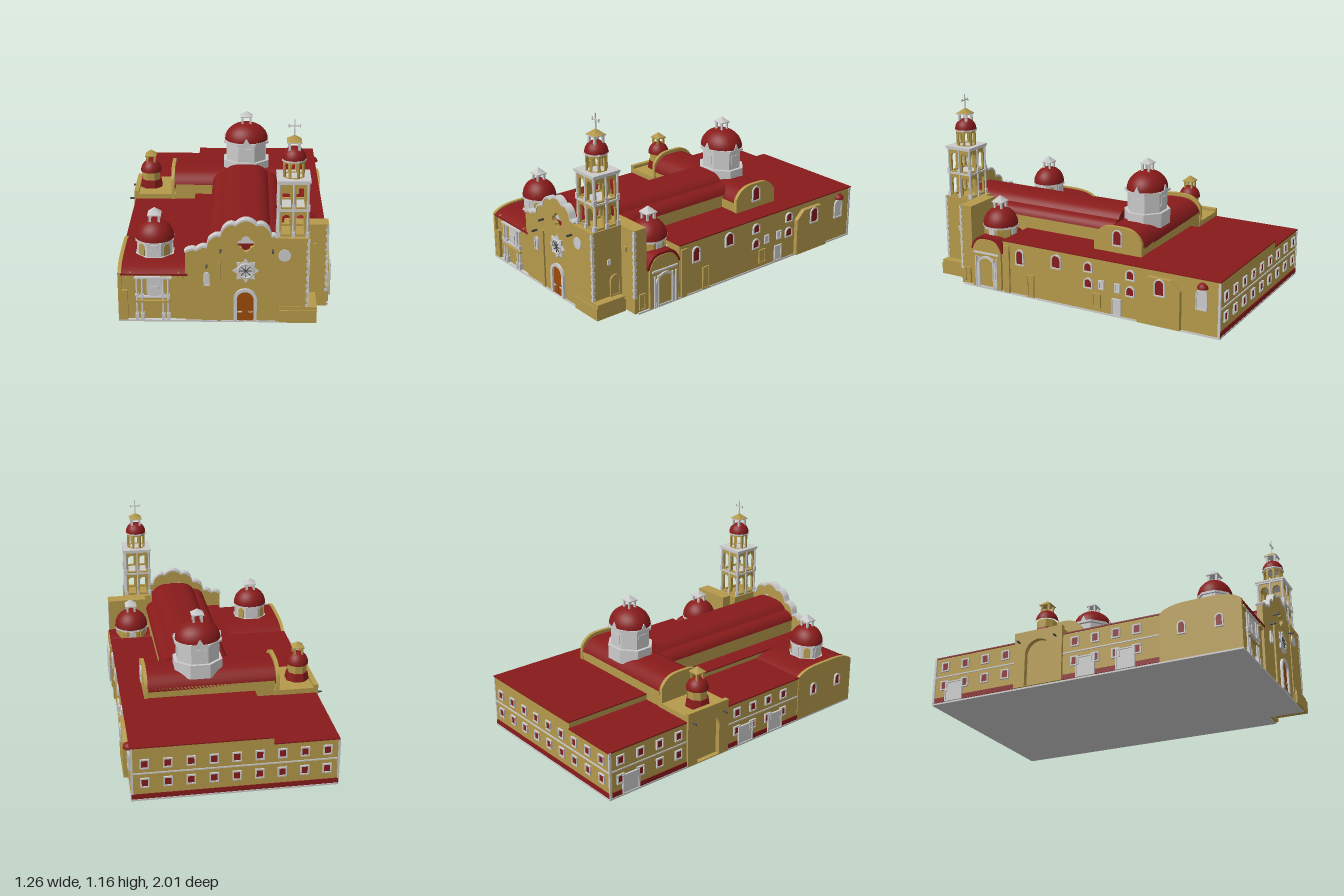
import * as THREE from 'three';
import { toCreasedNormals } from 'three/addons/utils/BufferGeometryUtils.js';

const mat = (color, side = THREE.FrontSide) => new THREE.MeshStandardMaterial({ color, side });
const OCHRE = mat(0xb59a4b), RED = mat(0x881b1b), GREY = mat(0xcccccc), WOOD = mat(0x9c4a08), DARK = mat(0x4a4a4a);
const RIGHT = -Math.PI / 2, LEFT = Math.PI / 2, BACK = Math.PI, FRONT = 0; // wall directions

export function createModel() {
  const root = new THREE.Group();
  root.name = 'church';

  const add = (name, geo, m, x = 0, y = 0, z = 0, parent = root) => {
    const mesh = new THREE.Mesh(geo, m);
    mesh.name = name;
    mesh.position.set(x, y, z);
    parent.add(mesh);
    return mesh;
  };
  const box = (name, m, x0, x1, y0, y1, z0, z1, parent = root) =>
    add(name, new THREE.BoxGeometry(x1 - x0, y1 - y0, z1 - z0), m, (x0 + x1) / 2, (y0 + y1) / 2, (z0 + z1) / 2, parent);
  const extrude = (shape, depth) =>
    toCreasedNormals(new THREE.ExtrudeGeometry(shape, { depth, bevelEnabled: false, curveSegments: 10 }), 0.6);
  const group = (name, x, y, z, rot = 0, parent = root) => {
    const g = new THREE.Group();
    g.name = name;
    g.position.set(x, y, z);
    g.rotation.y = rot;
    parent.add(g);
    return g;
  };

  // Upright outline with a round or flat head, bottom centre at (x, y)
  const opening = (w, h, arched, x = 0, y = 0, Kind = THREE.Shape) => {
    const s = new Kind(), r = w / 2;
    s.moveTo(x - r, y);
    s.lineTo(x + r, y);
    s.lineTo(x + r, y + h - (arched ? r : 0));
    if (arched) s.absarc(x, y + h - r, r, 0, Math.PI, false);
    else s.lineTo(x - r, y + h);
    s.lineTo(x - r, y);
    return s;
  };
  // Framed window or door on a wall
  const windowOn = (dir, x, y, z, w, h, arched = false, pane = RED, frame = GREY, t = 0.008) => {
    const g = group('window', x, y, z, dir === RIGHT ? Math.PI / 2 : dir === LEFT ? -Math.PI / 2 : dir);
    const s = opening(w, h, arched);
    s.holes.push(opening(w - 2 * t, h - 2 * t, arched, 0, t, THREE.Path));
    add('windowFrame', extrude(s, 0.012), frame, 0, 0, -0.003, g);
    add('windowPane', extrude(opening(w - t, h - t, arched, 0, t / 2), 0.005), pane, 0, 0, -0.002, g);
    return g;
  };
  // Block with a curved top, running along x or z
  const vault = (name, m, axis, c, half, y0, ySide, yTop, a, b) => {
    const s = new THREE.Shape();
    s.moveTo(-half, y0);
    s.lineTo(half, y0);
    s.lineTo(half, ySide);
    s.bezierCurveTo(half * 0.75, yTop + 0.005, half * 0.35, yTop, 0, yTop);
    s.bezierCurveTo(-half * 0.35, yTop, -half * 0.75, yTop + 0.005, -half, ySide);
    const geo = extrude(s, b - a);
    if (axis === 'x') geo.rotateY(Math.PI / 2);
    return axis === 'x' ? add(name, geo, m, a, 0, c) : add(name, geo, m, c, 0, a);
  };
  // Wall pierced by a row of arches
  const arcade = (w, h, n, aw, ah, y, t) => {
    const s = opening(w, h, false);
    for (let i = 0; i < n; i++) s.holes.push(opening(aw, ah, true, (i - (n - 1) / 2) * w / n, y, THREE.Path));
    return extrude(s, t);
  };
  const octagon = (name, m, apothem, y0, y1, g, top = apothem) =>
    add(name, new THREE.CylinderGeometry(top / 0.924, apothem / 0.924, y1 - y0, 8).rotateY(Math.PI / 8).toNonIndexed(), m, 0, (y0 + y1) / 2, 0, g)
      .geometry.computeVertexNormals();
  // Lantern with four posts and a pyramid cap
  const lantern = (g, r, y0, y1, y2, m, capMat) => {
    for (const sx of [-1, 1]) for (const sz of [-1, 1])
      box('lanternPost', m, sx * r * 0.65 - r * 0.17, sx * r * 0.65 + r * 0.17, y0 - 0.02, y1, sz * r * 0.65 - r * 0.17, sz * r * 0.65 + r * 0.17, g);
    box('lanternSlab', m, -r, r, y1 - 0.006, y1, -r, r, g);
    add('lanternCap', new THREE.ConeGeometry(r * 1.41, y2 - y1, 4).rotateY(Math.PI / 4), capMat, 0, (y1 + y2) / 2, 0, g);
  };
  const dome = (g, r, y0, y1) =>
    add('dome', new THREE.SphereGeometry(r, 32, 12, 0, 2 * Math.PI, 0, Math.PI / 2).scale(1, (y1 - y0) / r, 1), RED, 0, y0, 0, g);

  // Ground slab and main masses
  box('groundSlab', GREY, -0.59, 0.6, 0, 0.01, -1, 0.75);
  box('frontSlab', GREY, -0.59, 0.47, 0, 0.01, 0.75, 0.97);
  box('rearWing', OCHRE, -0.21, 0.595, 0.01, 0.335, -0.995, -0.43);
  box('rearRoof', RED, -0.21, 0.6, 0.335, 0.342, -1, -0.43);
  box('lowRearWing', OCHRE, -0.585, -0.21, 0.01, 0.295, -0.995, -0.43);
  box('lowRearRoof', RED, -0.59, -0.21, 0.295, 0.303, -1, -0.43);
  box('eastAisle', OCHRE, 0.3, 0.595, 0.01, 0.335, -0.43, 0.45);
  box('eastRoof', RED, 0.3, 0.6, 0.335, 0.342, -0.43, 0.45);
  box('westWing', OCHRE, -0.585, -0.2, 0.01, 0.295, -0.12, 0.49);
  box('westRoof', RED, -0.59, -0.2, 0.295, 0.303, -0.12, 0.49);
  box('westAisle', OCHRE, -0.2, -0.09, 0.01, 0.33, -0.12, 0.94);
  box('westAisleRoof', RED, -0.205, -0.09, 0.33, 0.338, -0.12, 0.94);

  // Nave with shouldered barrel roof
  box('naveWalls', OCHRE, -0.085, 0.325, 0.01, 0.42, -0.2, 0.935);
  const naveShape = new THREE.Shape();
  naveShape.moveTo(-0.212, 0.42);
  naveShape.lineTo(0.212, 0.42);
  naveShape.quadraticCurveTo(0.2, 0.47, 0.14, 0.475);
  naveShape.bezierCurveTo(0.11, 0.525, 0.05, 0.525, 0, 0.525);
  naveShape.bezierCurveTo(-0.05, 0.525, -0.11, 0.525, -0.14, 0.475);
  naveShape.quadraticCurveTo(-0.2, 0.47, -0.212, 0.42);
  add('naveRoof', extrude(naveShape, 1.105), RED, 0.12, 0, -0.17);

  // Transept, its end gables and the west block
  box('transeptWalls', OCHRE, -0.33, 0.44, 0.01, 0.4, -0.43, -0.12);
  vault('transeptRoof', RED, 'x', -0.275, 0.155, 0.38, 0.4, 0.48, -0.34, 0.45);
  for (const x of [-0.36, 0.44]) vault('transeptGable', OCHRE, 'x', -0.275, 0.16, 0.29, 0.425, 0.502, x, x + 0.022);
  windowOn(RIGHT, 0.462, 0.385, -0.275, 0.065, 0.1, true);
  box('westBlock', OCHRE, -0.57, -0.33, 0.01, 0.335, -0.435, -0.12);
  const niche = group('westPortal', -0.57, 0.01, -0.278, -Math.PI / 2);
  add('portalWall', arcade(0.315, 0.345, 1, 0.17, 0.28, 0.005, 0.03), OCHRE, 0, 0, 0, niche);

  // Main dome on its octagonal drum
  const main = group('mainDome', 0.122, 0, -0.292);
  main.scale.z = 0.87;
  octagon('drumBase', GREY, 0.145, 0.44, 0.53, main);
  octagon('drum', GREY, 0.125, 0.53, 0.645, main);
  octagon('drumCornice', GREY, 0.143, 0.645, 0.66, main);
  dome(main, 0.14, 0.657, 0.77);
  lantern(main, 0.038, 0.77, 0.815, 0.845, GREY, GREY);
  for (let i = 0; i < 4; i++) {
    const side = group('drumFace', 0, 0, 0, i * Math.PI / 2, main);
    box('drumPanel', GREY, -0.035, 0.035, 0.56, 0.62, 0.12, 0.129, side);
    add('domeGable', extrude(new THREE.Shape([[-0.025, 0.655], [0.025, 0.655], [0, 0.695]].map(p => new THREE.Vector2(...p))), 0.03), GREY, 0, 0, 0.112, side);
  }

  // Two side chapel domes
  const chapelDome = (name, x, z, r, sz, y0, y1, y2, y3, m) => {
    const g = group(name, x, 0, z);
    g.scale.z = sz;
    octagon('drum', m, r * 0.88, y0, y1, g);
    octagon('drumBase', GREY, r * 0.98, y0, y0 + 0.012, g);
    octagon('drumCornice', GREY, r * 0.98, y1 - 0.012, y1, g);
    for (let i = 0; i < 8; i++) {
      const face = group('drumFace', 0, y0 + 0.012, 0, i * Math.PI / 4, g);
      add('drumWindow', extrude(opening(r * 0.4, y1 - y0 - 0.03, i % 2 === 1), 0.005), i % 2 ? OCHRE : GREY, 0, 0, r * 0.88, face);
    }
    dome(g, r, y1, y2);
    lantern(g, r * 0.35, y2, y2 + (y3 - y2) * 0.5, y3, GREY, GREY);
  };
  chapelDome('westChapelDome', -0.395, 0.748, 0.11, 0.91, 0.325, 0.425, 0.532, 0.605, GREY);
  chapelDome('eastChapelDome', 0.452, 0.562, 0.108, 1, 0.3, 0.39, 0.5, 0.572, OCHRE);

  // Small west cupola
  const cupola = group('westCupola', -0.5, 0, -0.28);
  octagon('cupolaSkirt', RED, 0.07, 0.335, 0.385, cupola, 0.062);
  octagon('cupolaDrum', OCHRE, 0.055, 0.385, 0.44, cupola);
  dome(cupola, 0.068, 0.44, 0.515);
  lantern(cupola, 0.036, 0.515, 0.55, 0.582, OCHRE, OCHRE);

  // West chapel with columned front
  box('westChapel', OCHRE, -0.58, -0.2, 0.01, 0.29, 0.49, 0.95);
  vault('westChapelRoof', RED, 'x', 0.727, 0.242, 0.285, 0.295, 0.336, -0.575, -0.2);
  vault('westChapelGable', OCHRE, 'x', 0.727, 0.242, 0.01, 0.3, 0.345, -0.59, -0.57);
  box('cornerButtress', OCHRE, -0.575, -0.537, 0.01, 0.19, 0.95, 0.968);
  box('chapelNicheFrame', GREY, -0.43, -0.345, 0.14, 0.262, 0.95, 0.957);
  box('chapelNiche', GREY, -0.41, -0.365, 0.15, 0.215, 0.95, 0.962);
  for (const y of [0.118, 0.145]) box('chapelLintel', y < 0.13 ? OCHRE : GREY, -0.49, -0.3, y, y + 0.01, 0.95, 0.968);
  box('chapelCornice', GREY, -0.5, -0.29, 0.262, 0.272, 0.95, 0.968);
  for (const x of [-0.485, -0.455, -0.338, -0.31]) {
    add('chapelColumn', new THREE.CylinderGeometry(0.006, 0.006, 0.25, 12), GREY, x, 0.135, 0.96);
    box('columnPlinth', GREY, x - 0.01, x + 0.01, 0.01, 0.05, 0.95, 0.97);
    box('columnCapital', GREY, x - 0.01, x + 0.01, 0.155, 0.168, 0.95, 0.97);
  }
  for (const x of [-0.52, -0.25])
    add('eaveGable', extrude(new THREE.Shape([[-0.03, 0.26], [0.03, 0.26], [0, 0.308]].map(p => new THREE.Vector2(...p))), 0.02), OCHRE, x, 0, 0.945);

  // East chapel with arched portal
  box('eastChapel', OCHRE, 0.33, 0.59, 0.01, 0.26, 0.45, 0.685);
  vault('eastChapelRoof', RED, 'x', 0.567, 0.117, 0.25, 0.262, 0.34, 0.33, 0.6);
  vault('eastChapelGable', OCHRE, 'x', 0.567, 0.105, 0.01, 0.25, 0.325, 0.58, 0.605);
  windowOn(RIGHT, 0.606, 0.01, 0.567, 0.14, 0.21, true, OCHRE, GREY, 0.014);
  for (const z of [0.49, 0.515, 0.619, 0.644]) add('portalColumn', new THREE.CylinderGeometry(0.006, 0.006, 0.2, 12), GREY, 0.612, 0.11, z);
  box('portalCornice', GREY, 0.6, 0.615, 0.232, 0.242, 0.475, 0.66);

  // Scalloped front facade with grey coping
  const top = new THREE.Path();
  top.moveTo(-0.335, 0.425);
  for (const [x, y, lift] of [[-0.27, 0.438, 0.02], [-0.215, 0.455, 0.02], [-0.205, 0.495, 0], [-0.14, 0.525, 0.025], [-0.128, 0.56, 0], [-0.058, 0.588, 0.035],
    [0.058, 0.588, 0.06], [0.128, 0.56, 0.035], [0.14, 0.525, 0], [0.172, 0.515, 0.01]]) {
    const p = top.currentPoint;
    top.quadraticCurveTo((p.x + x) / 2, (p.y + y) / 2 + lift, x, y);
  }
  const crest = top.getPoints(8);
  const facade = new THREE.Shape([new THREE.Vector2(0.172, 0.01), ...crest.slice().reverse(), new THREE.Vector2(-0.335, 0.01)]);
  const quatrefoil = new THREE.Path();
  for (let i = 0; i < 4; i++) {
    const a = i * Math.PI / 2;
    quatrefoil.absarc(0.024 * Math.cos(a), 0.478 + 0.024 * Math.sin(a), 0.024, a - Math.PI / 2, a + Math.PI / 2, false);
  }
  facade.holes.push(quatrefoil);
  add('facade', extrude(facade, 0.035), OCHRE, 0.122, 0, 0.93);
  add('facadeCoping', extrude(new THREE.Shape([...crest, ...crest.slice().reverse().map(p => new THREE.Vector2(p.x * 1.015, p.y + 0.012))]), 0.045), GREY, 0.122, -0.003, 0.925);
  box('quatrefoilPanel', GREY, 0.07, 0.174, 0.472, 0.535, 0.93, 0.94);
  box('facadeButtress', OCHRE, -0.037, -0.016, 0.01, 0.37, 0.96, 0.975);

  // Main door, star window and other front openings
  const doorFrame = opening(0.13, 0.2, true);
  doorFrame.holes.push(opening(0.092, 0.181, true, 0, 0.001, THREE.Path));
  add('doorSurround', extrude(doorFrame, 0.02), GREY, 0.12, 0.01, 0.96);
  add('mainDoor', extrude(opening(0.094, 0.182, true), 0.006), WOOD, 0.12, 0.01, 0.962);
  for (const s of [-1, 1]) {
    box('doorLeaf', WOOD, 0.12 + s * 0.02 - 0.017, 0.12 + s * 0.02 + 0.017, 0.012, 0.075, 0.966, 0.972);
    box('doorImpost', GREY, 0.12 + s * 0.03 - 0.012, 0.12 + s * 0.03 + 0.012, 0.062, 0.07, 0.966, 0.974);
  }
  const star = new THREE.Shape(Array.from({ length: 16 }, (_, i) => {
    const r = i % 2 ? 0.05 : 0.073, a = i * Math.PI / 8;
    return new THREE.Vector2(r * Math.cos(a), r * Math.sin(a));
  }));
  add('starWindow', extrude(star, 0.014), GREY, 0.122, 0.32, 0.96);
  add('starRing', new THREE.TorusGeometry(0.042, 0.006, 8, 24), GREY, 0.122, 0.32, 0.975);
  for (let i = 0; i < 4; i++) add('starBar', new THREE.BoxGeometry(0.084, 0.004, 0.008).rotateZ(i * Math.PI / 4), DARK, 0.122, 0.32, 0.974);
  windowOn(FRONT, -0.095, 0.227, 0.967, 0.036, 0.08, true, GREY);
  add('roundWindow', new THREE.CylinderGeometry(0.035, 0.035, 0.012, 32).rotateX(Math.PI / 2), GREY, 0.335, 0.415, 0.97);
  windowOn(FRONT, 0.515, 0.37, 0.772, 0.02, 0.03, false, OCHRE, OCHRE);

  // Tower base, set-back wall and foot block
  box('towerBase', OCHRE, 0.29, 0.47, 0.005, 0.515, 0.75, 0.97);
  box('setBackWall', OCHRE, 0.34, 0.59, 0.005, 0.515, 0.685, 0.77);
  box('towerFoot', OCHRE, 0.31, 0.52, 0.005, 0.08, 0.78, 0.982);
  box('towerFootCap', OCHRE, 0.31, 0.52, 0.08, 0.1, 0.79, 0.975);
  windowOn(RIGHT, 0.472, 0.1, 0.82, 0.07, 0.13, true, OCHRE, OCHRE);
  windowOn(RIGHT, 0.472, 0.3, 0.86, 0.02, 0.03, false, DARK);
  windowOn(RIGHT, 0.592, 0.02, 0.72, 0.045, 0.1, false, OCHRE, OCHRE);
  for (let i = 0; i < 20; i++) {
    const y = 0.1 + i * 0.0207, w = i % 2 ? 0.012 : 0.018;
    box('towerQuoin', GREY, 0.473 - w, 0.473, y, y + 0.018, 0.973 - w, 0.973);
    box('wallQuoin', GREY, 0.592 - w, 0.592, y, y + 0.018, 0.773 - w, 0.773);
  }

  // Open belfry: two square stages, an octagon, dome, lantern and cross
  const belfry = group('belfry', 0.38, 0, 0.86);
  for (const y of [0.515, 0.672]) {
    for (let i = 0; i < 4; i++) {
      const face = group('belfryFace', 0, y, 0, i * Math.PI / 2, belfry);
      add('belfryArches', arcade(0.155, 0.157, 2, 0.05, 0.115, 0.012, 0.016), OCHRE, 0, 0, 0.063, face);
      for (const x of [-0.078, 0, 0.078]) {
        add('belfryColumn', new THREE.CylinderGeometry(0.006, 0.006, 0.15, 10), GREY, x, 0.075, 0.081, face);
        box('columnBase', GREY, x - 0.009, x + 0.009, 0, 0.03, 0.072, 0.09, face);
      }
    }
    box('belfryCornice', GREY, -0.088, 0.088, y + 0.15, y + 0.16, -0.088, 0.088, belfry);
  }
  box('belfryTop', GREY, -0.093, 0.093, 0.832, 0.843, -0.093, 0.093, belfry);
  for (let i = 0; i < 8; i++)
    add('octagonArch', arcade(0.048, 0.1, 1, 0.029, 0.082, 0.004, 0.01), OCHRE, 0, 0, 0.048, group('octagonFace', 0, 0.842, 0, i * Math.PI / 4, belfry));
  octagon('octagonCornice', GREY, 0.065, 0.936, 0.946, belfry);
  dome(belfry, 0.066, 0.945, 1.012);
  lantern(belfry, 0.04, 1.01, 1.045, 1.078, GREY, OCHRE);
  box('crossPost', GREY, -0.003, 0.003, 1.07, 1.165, -0.003, 0.003, belfry);
  box('crossArm', GREY, -0.03, 0.03, 1.124, 1.13, -0.003, 0.003, belfry);
  for (const x of [-0.03, 0.03]) box('crossTip', GREY, x - 0.003, x + 0.003, 1.118, 1.137, -0.003, 0.003, belfry);

  // East wall openings
  for (const [z, y, w, h, arched, pane] of [[0.325, 0.2, 0.06, 0.1, true, RED], [0.065, 0.225, 0.07, 0.09, true, RED], [-0.155, 0.245, 0.06, 0.065, true, RED], [-0.155, 0.145, 0.06, 0.065, true, RED],
    [-0.435, 0.245, 0.06, 0.065, true, RED], [-0.435, 0.145, 0.06, 0.065, true, RED], [-0.245, 0.155, 0.038, 0.055, false, GREY], [-0.35, 0.155, 0.038, 0.055, false, GREY],
    [-0.345, 0.01, 0.06, 0.105, false, GREY], [-0.21, 0.035, 0.055, 0.09, false, OCHRE], [0.25, 0.01, 0.05, 0.14, false, OCHRE], [-0.885, 0.155, 0.07, 0.125, true, GREY]])
    windowOn(RIGHT, 0.597, y, z, w, h, arched, pane, pane === OCHRE ? OCHRE : GREY);
  box('eastButtress', OCHRE, 0.59, 0.608, 0.01, 0.31, 0.4, 0.44);
  const bay = new THREE.Shape([[-0.135, 0.01], [0.135, 0.01], [0.135, 0.245], [0.075, 0.3], [-0.075, 0.3], [-0.135, 0.245]].map(p => new THREE.Vector2(...p)));
  add('eastBay', extrude(bay, 0.03).rotateY(Math.PI / 2), OCHRE, 0.592, 0, -0.625);
  windowOn(RIGHT, 0.621, 0.195, -0.635, 0.07, 0.105, true);
  add('windowAwning', new THREE.SphereGeometry(0.033, 16, 8, 0, 2 * Math.PI, 0, Math.PI / 2), RED, 0.596, 0.285, -0.89);

  // Rear and west windows in two rows, with plinths and string courses
  for (const y of [0.085, 0.205]) {
    for (let i = 0; i < 9; i++) windowOn(BACK, -0.52 + i * 0.13, y, -0.996, 0.052, 0.06);
    for (const z of [-0.92, -0.78, -0.64, -0.5, -0.04, 0.09, 0.22, 0.35]) windowOn(LEFT, -0.587, y, z, 0.052, 0.06);
  }
  for (const [y, h, m] of [[0.012, 0.03, RED], [0.17, 0.008, GREY]]) {
    box('rearBand', m, -0.588, 0.597, y, y + h, -1, -0.99);
    for (const [a, b] of [[-0.995, -0.435], [-0.12, 0.485]]) box('westBand', m, -0.59, -0.58, y, y + h, a, b);
  }
  for (const z of [-0.85, 0.03, 0.28]) windowOn(LEFT, -0.59, 0.01, z, 0.12, 0.125, false, GREY);
  for (const z of [0.62, 0.84]) windowOn(LEFT, -0.592, 0.15, z, 0.05, 0.08, true);
  for (const x of [-0.587, 0.593]) box('rearQuoin', GREY, x - 0.007, x + 0.005, 0.01, x < 0 ? 0.3 : 0.335, -0.999, -0.985);

  // Water spouts
  for (const z of [-0.4, -0.16]) box('waterSpout', DARK, -0.632, -0.57, 0.285, 0.293, z - 0.004, z + 0.004);
  for (const [x, y] of [[-0.095, 0.35], [-0.018, 0.443], [0.27, 0.443]]) box('waterSpout', DARK, x - 0.005, x + 0.005, y - 0.005, y + 0.005, 0.95, 1);
  return root;
}
